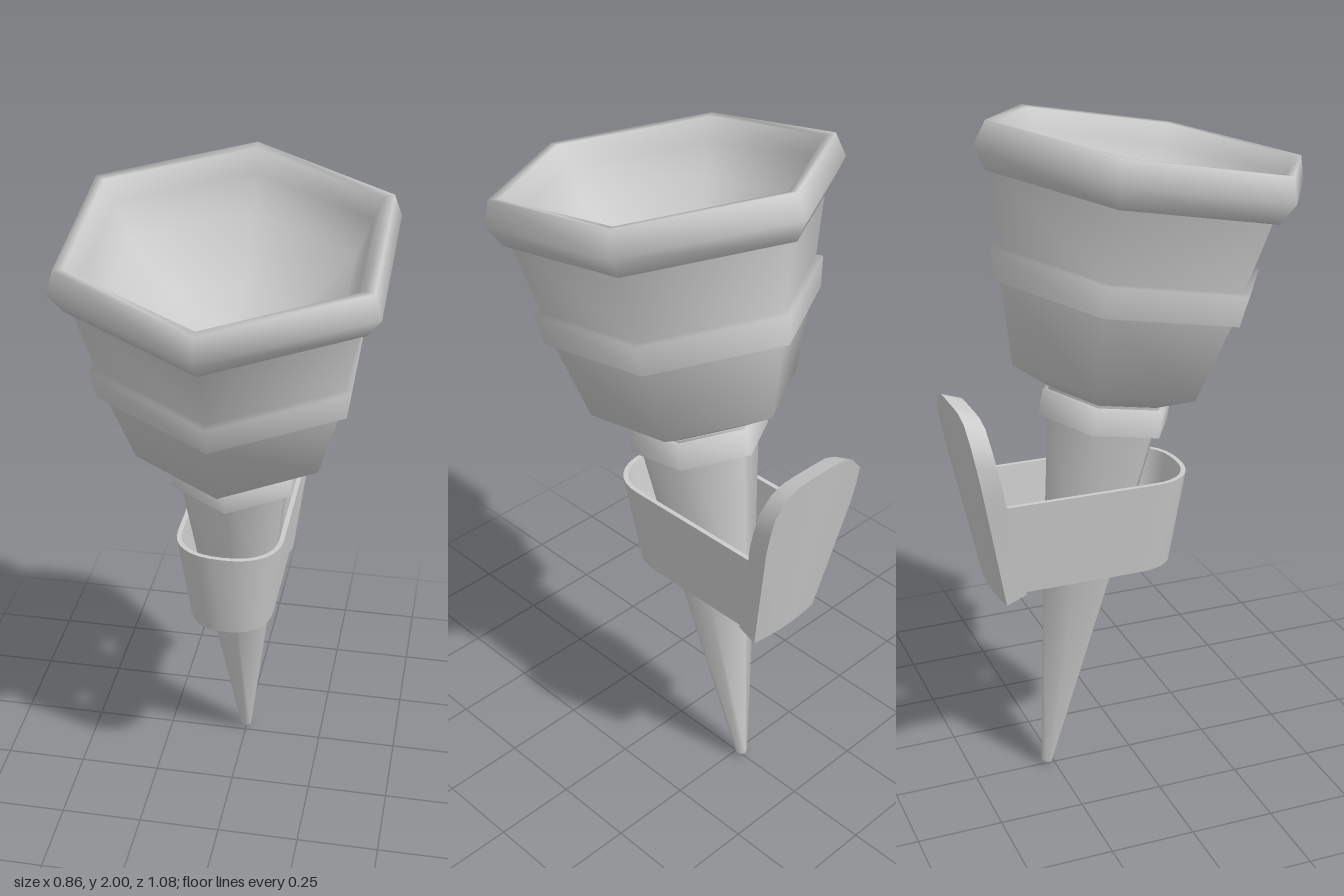
import * as THREE from 'three';
import { toCreasedNormals } from 'three/addons/utils/BufferGeometryUtils.js';

const material = new THREE.MeshStandardMaterial({ color: 0xcccccc, side: THREE.DoubleSide });
const lerp = THREE.MathUtils.lerp;

function addMesh(parent, name, geometry) {
  const mesh = new THREE.Mesh(geometry, material);
  mesh.name = name;
  parent.add(mesh);
}

// Six-sided turned part; a repeated point keeps that edge sharp.
function hexLathe(points) {
  return new THREE.LatheGeometry(points.map(([r, y]) => new THREE.Vector2(r, y)), 6);
}

// Moves every vertex by a rule, then rebuilds the normals.
function reshape(geometry, rule, crease) {
  const p = geometry.attributes.position;
  const v = new THREE.Vector3();
  for (let i = 0; i < p.count; i++) {
    rule(v.fromBufferAttribute(p, i));
    p.setXYZ(i, v.x, v.y, v.z);
  }
  geometry.deleteAttribute('normal');
  geometry.deleteAttribute('uv');
  return toCreasedNormals(geometry, crease);
}

// Tapered band bent round the front of the torch, open at the back.
function strapGeometry() {
  const outer = [], inner = [];
  const steps = 16, wall = 0.014;
  for (let i = 0; i <= steps; i++) {
    const a = (i / steps) * Math.PI;
    const c = Math.cos(a), s = Math.sin(a);
    const x = Math.sign(c) * Math.pow(Math.abs(c), 0.85), z = Math.pow(s, 0.85);
    outer.push(new THREE.Vector2(0.158 * x, 0.14 * z + 0.02));
    inner.push(new THREE.Vector2((0.158 - wall) * x, (0.14 - wall) * z + 0.02));
  }
  const shape = new THREE.Shape([
    new THREE.Vector2(0.156, -0.45), ...outer, new THREE.Vector2(-0.156, -0.45),
    new THREE.Vector2(-0.156 + wall, -0.45), ...inner.reverse(), new THREE.Vector2(0.156 - wall, -0.45),
  ]);
  const g = new THREE.ExtrudeGeometry(shape, { depth: 1, bevelEnabled: false });
  g.rotateX(Math.PI / 2); // depth now runs downward, shape y becomes z
  return reshape(g, (v) => {
    const t = -v.y;
    v.x *= lerp(1, 0.79, t);
    v.z += v.z > -0.2 ? -0.045 * t : 0.04 * t;
    v.y = lerp(0.955, 0.67, t);
  }, 0.7);
}

// Leaning, slightly bowed plate with a rounded top and narrow foot.
function plateGeometry() {
  return reshape(new THREE.BoxGeometry(2, 1, 1, 8, 8, 1), (v) => {
    const u = v.x, t = v.y + 0.5, front = v.z + 0.5;
    const half = t < 0.8 ? lerp(0.124, 0.176, t / 0.8) : lerp(0.176, 0.17, (t - 0.8) / 0.2);
    v.x = u * half;
    v.y = lerp(0.637, 1.23 - 0.07 * u ** 4, t) + front * lerp(0.025, -0.02, t);
    v.z = lerp(-0.434, -0.537, t) + 0.01 * u * u + 0.06 * front;
  }, 0.9);
}

export function createModel() {
  const model = new THREE.Group();
  model.name = 'wallTorch';

  // Torch, built upright from its tip and tilted toward the front
  const torch = new THREE.Group();
  torch.name = 'torch';
  torch.position.set(0, 0.005, -0.275);
  torch.rotation.x = THREE.MathUtils.degToRad(10);
  model.add(torch);

  addMesh(torch, 'handle', hexLathe([
    [0, 0], [0.012, 0], [0.018, 0.012], [0.018, 0.012], [0.114, 0.67], [0.185, 1.22],
  ]));

  addMesh(torch, 'collar', hexLathe([
    [0.17, 1.13], [0.202, 1.135], [0.202, 1.135], [0.2, 1.21], [0.16, 1.215],
  ]));

  // Flaring cup wall with a raised band round its middle
  addMesh(torch, 'cup', hexLathe([
    [0.16, 1.21], [0.3, 1.277], [0.372, 1.515], [0.372, 1.515], [0.395, 1.515], [0.395, 1.515],
    [0.409, 1.602], [0.388, 1.606], [0.437, 1.81],
  ]));

  // Rolled rim
  addMesh(torch, 'rim', hexLathe([
    [0.425, 1.81], [0.456, 1.81], [0.497, 1.872], [0.474, 1.941], [0.445, 1.938], [0.415, 1.88],
  ]));

  // Hollow of the cup
  addMesh(torch, 'bowl', hexLathe([
    [0.415, 1.88], [0.365, 1.78], [0.2, 1.66], [0.06, 1.62], [0, 1.62],
  ]));

  // Wall bracket
  const bracket = new THREE.Group();
  bracket.name = 'bracket';
  model.add(bracket);
  addMesh(bracket, 'strap', strapGeometry());
  addMesh(bracket, 'backPlate', plateGeometry());

  return model;
}
